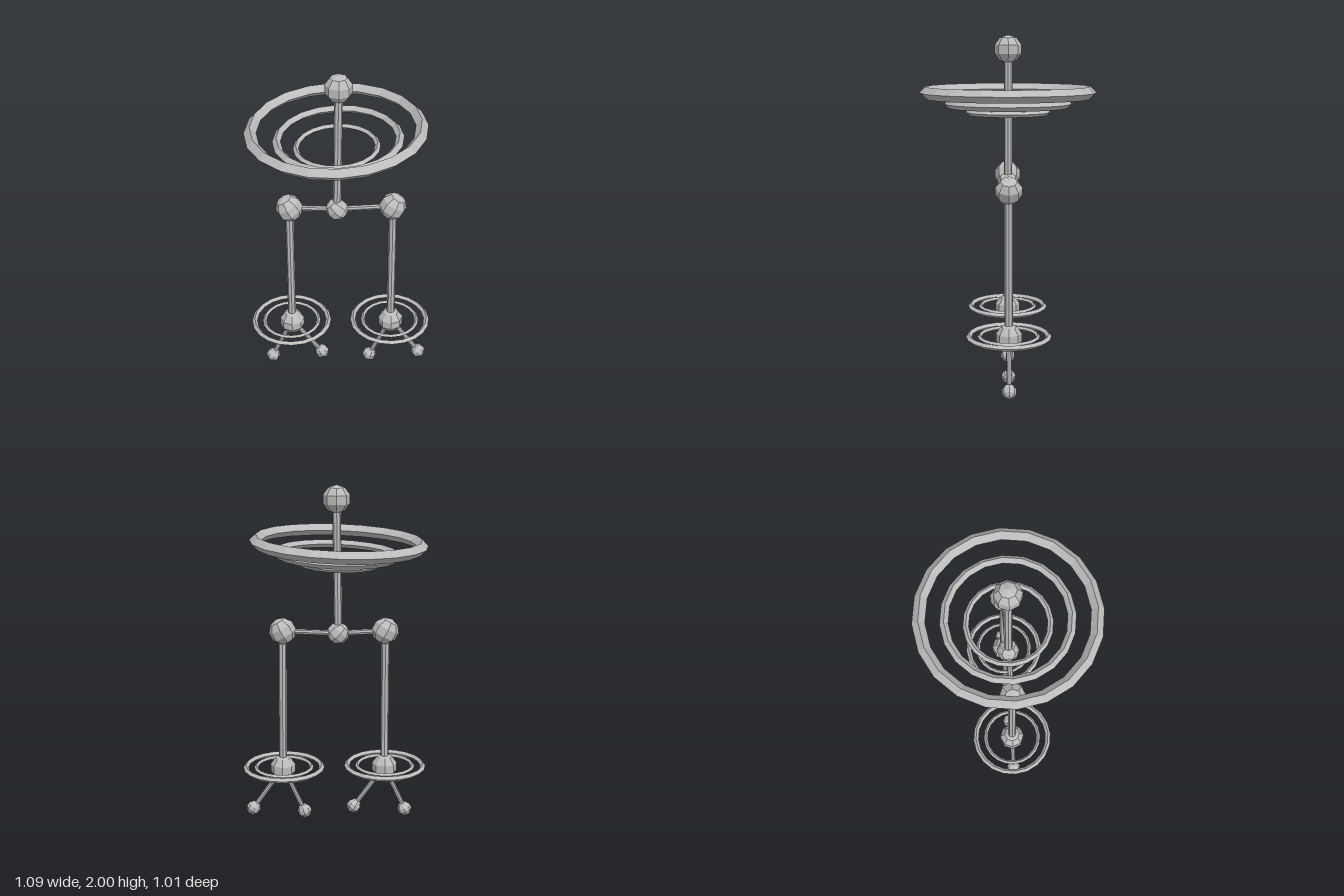
import * as THREE from 'three';

export function createModel() {
  const model = new THREE.Group();
  const grey = new THREE.MeshStandardMaterial({ color: 0xbcbcbc });
  grey.name = 'grey';
  grey.flatShading = true;

  const add = (name, geometry, x, y) => {
    const mesh = new THREE.Mesh(geometry, grey);
    mesh.name = name;
    mesh.position.set(x, y, 0);
    model.add(mesh);
    return mesh;
  };
  // faceted ball, tilted about z
  const ball = (name, r, x, y, tilt = 0) => {
    add(name, new THREE.SphereGeometry(r, 8, 5), x, y).rotation.z = tilt;
  };
  // thin rod between two points in the z = 0 plane
  const rod = (name, r, [x1, y1], [x2, y2]) => {
    const dx = x2 - x1, dy = y2 - y1;
    const mesh = add(name, new THREE.CylinderGeometry(r, r, Math.hypot(dx, dy), 8), (x1 + x2) / 2, (y1 + y2) / 2);
    mesh.rotation.z = Math.atan2(-dx, dy);
  };
  // flat hoop with a diamond section
  const hoop = (name, R, r, x, y, tilt = 0) => {
    const geometry = new THREE.TorusGeometry(R, r, 4, 20).rotateX(Math.PI / 2);
    add(name, geometry, x, y).rotation.z = tilt;
  };

  // spine and head
  const head = [-0.014, 1.92], pelvis = [-0.024, 1.147];
  rod('spine', 0.024, pelvis, head);
  ball('head', 0.08, ...head);
  ball('pelvisJoint', 0.065, ...pelvis, Math.PI / 4);

  // tilted hoops around the spine
  hoop('largeHoop', 0.472, 0.035, -0.028, 1.673, 0.037);
  hoop('middleHoop', 0.341, 0.0235, -0.016, 1.61, 0.037);
  hoop('smallHoop', 0.227, 0.016, -0.024, 1.561, 0.037);

  // legs, each with ankle hoops and two toes
  const legs = [
    { side: 'right', hip: [-0.297, 1.16], ankle: [-0.3, 0.327], ring: [-0.303, 0.333], toes: [[-0.425, 0.055], [-0.12, 0.074]], tilt: 0.5 },
    { side: 'left', hip: [0.297, 1.16], ankle: [0.304, 0.321], ring: [0.298, 0.325], toes: [[0.177, 0.044], [0.483, 0.064]], tilt: -0.5 },
  ];
  for (const { side, hip, ankle, ring, toes, tilt } of legs) {
    rod(side + 'HipBar', 0.016, pelvis, hip);
    ball(side + 'Hip', 0.079, ...hip, tilt);
    rod(side + 'Leg', 0.024, ankle, hip);
    ball(side + 'Ankle', 0.077, ...ankle);
    hoop(side + 'AnkleHoopOuter', 0.226, 0.016, ...ring);
    hoop(side + 'AnkleHoopInner', 0.165, 0.012, ...ring);
    for (const toe of toes) {
      rod(side + 'ToeRod', 0.014, ankle, toe);
      ball(side + 'Toe', 0.043, ...toe, Math.atan2(toe[0] - ankle[0], ankle[1] - toe[1]));
    }
  }
  return model;
}
